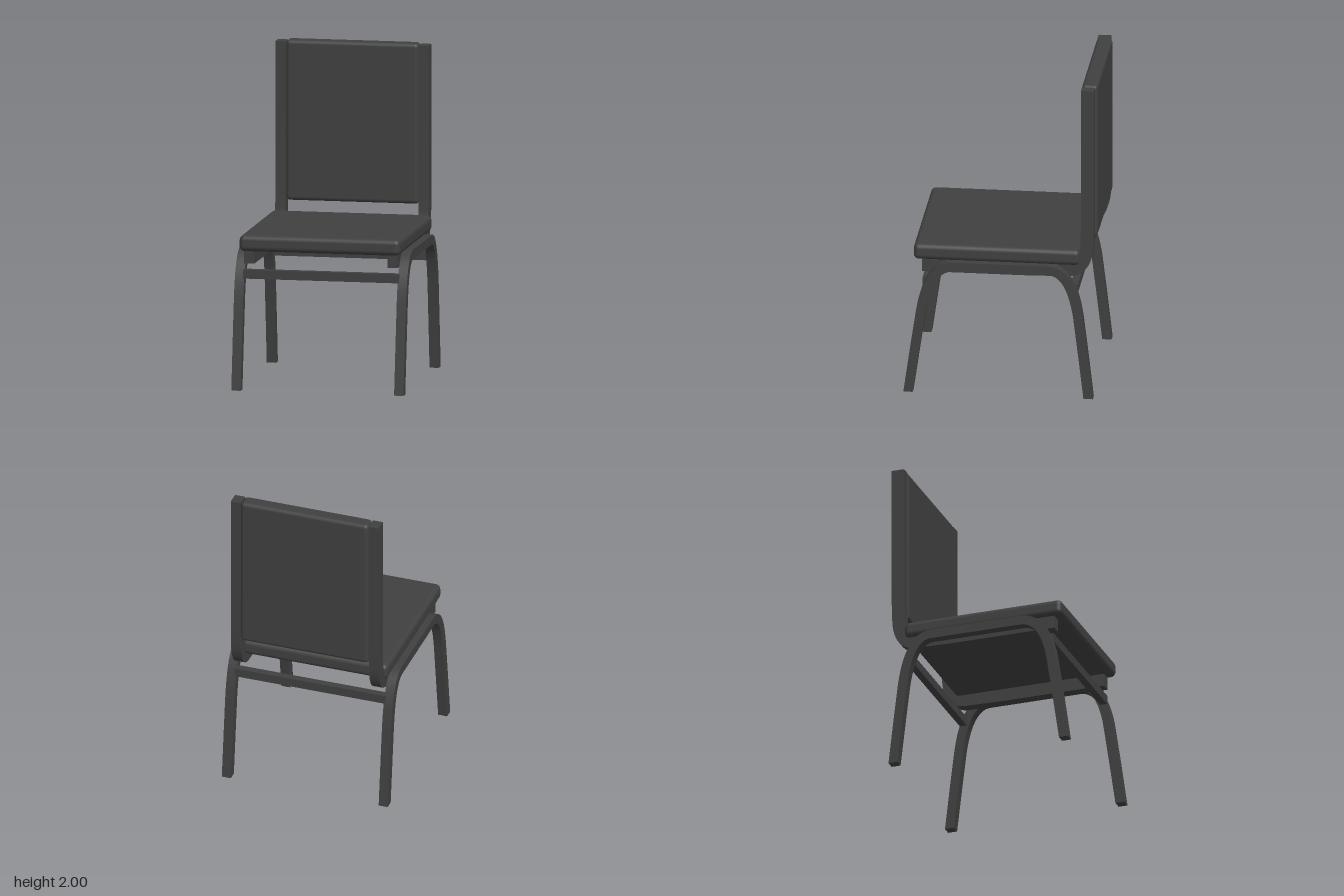
import * as THREE from 'three';
import { toCreasedNormals } from 'three/addons/utils/BufferGeometryUtils.js';
import { RoundedBoxGeometry } from 'three/addons/geometries/RoundedBoxGeometry.js';

const material = new THREE.MeshStandardMaterial({ color: 0x404040 });
const v = (z, y) => new THREE.Vector2(z, y);

function add(parent, name, geometry, x = 0, y = 0, z = 0) {
  const mesh = new THREE.Mesh(geometry, material);
  mesh.name = name;
  mesh.position.set(x, y, z);
  parent.add(mesh);
  return mesh;
}

// Square bar bent along a side-view path: points are (z, y), depth runs along x
function bentBar(points, width, depth) {
  const left = [], right = [];
  points.forEach((p, i) => {
    const a = points[Math.max(i - 1, 0)];
    const b = points[Math.min(i + 1, points.length - 1)];
    const t = b.clone().sub(a).normalize();
    const n = v(-t.y, t.x).multiplyScalar(width / 2);
    left.push(p.clone().add(n));
    right.unshift(p.clone().sub(n));
  });
  // Feet are cut flat on the floor
  const outline = [...left, ...right];
  outline.forEach((p) => { if (p.y < 0.02) p.y = 0; });
  const geometry = new THREE.ExtrudeGeometry(new THREE.Shape(outline), { depth, bevelEnabled: false });
  geometry.translate(0, 0, -depth / 2);
  geometry.rotateY(-Math.PI / 2);
  return toCreasedNormals(geometry, Math.PI / 6);
}

const bend = (a, corner, b) => new THREE.QuadraticBezierCurve(a, corner, b).getPoints(14);

export function createModel() {
  const chair = new THREE.Group();
  chair.name = 'chair';

  // Front leg, side bar and back leg in one bent piece
  const legGeometry = bentBar([
    v(0.56, 0),
    v(0.517, 0.3),
    ...bend(v(0.484, 0.52), v(0.44, 0.826), v(0.28, 0.826)),
    ...bend(v(-0.30, 0.826), v(-0.44, 0.826), v(-0.483, 0.52)),
    v(-0.51, 0.3),
    v(-0.545, 0),
  ], 0.058, 0.058);

  // Seat rail that bends up into the backrest post
  const railGeometry = bentBar([
    v(0.48, 0.81),
    v(-0.15, 0.81),
    ...bend(v(-0.41, 0.815), v(-0.52, 0.815), v(-0.53, 0.97)),
    v(-0.534, 1.1),
    v(-0.534, 1.99),
  ], 0.08, 0.064);

  for (const [side, s] of [['left', 1], ['right', -1]]) {
    add(chair, side + 'LegFrame', legGeometry, s * 0.506);
    add(chair, side + 'BackrestRail', railGeometry, s * 0.445);
  }

  // Cross bars between the legs
  for (const [name, z] of [['frontCrossBar', 0.455], ['backCrossBar', -0.455]]) {
    add(chair, name, new THREE.BoxGeometry(0.97, 0.055, 0.045), 0, 0.703, z);
  }

  // Cushions
  add(chair, 'seatCushion', new RoundedBoxGeometry(1.0, 0.1, 1.02, 4, 0.032), 0, 0.9, 0.022);
  add(chair, 'backrestCushion', new RoundedBoxGeometry(0.825, 0.99, 0.098, 4, 0.025), 0, 1.505, -0.54);

  return chair;
}
